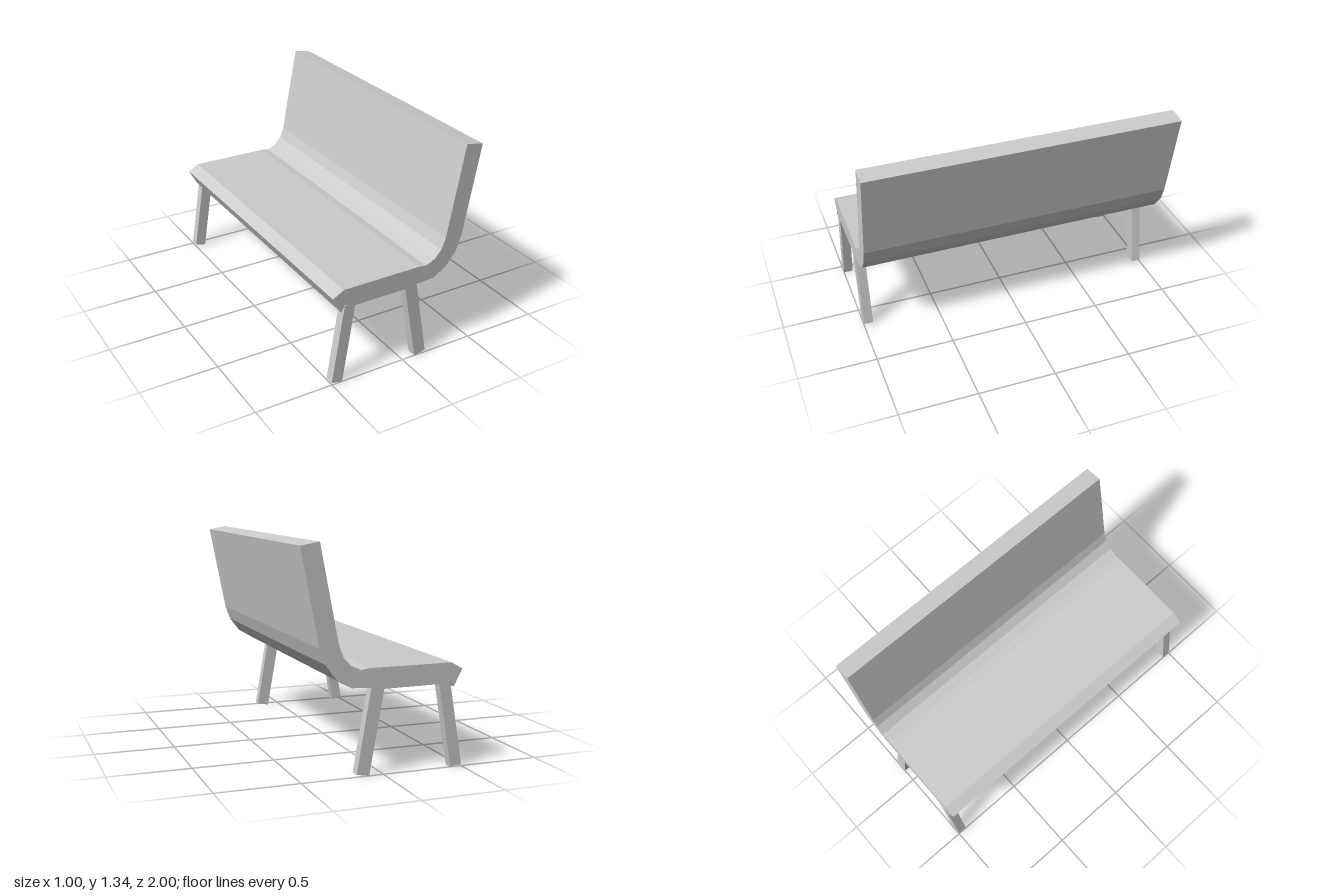
import * as THREE from 'three';

const material = new THREE.MeshStandardMaterial({ color: 0xcccccc, flatShading: true, side: THREE.DoubleSide });

// Extrudes a side profile (x, y) along z, centred on the given z
function slab(name, points, width, z = 0) {
  const shape = new THREE.Shape(points.map(([x, y]) => new THREE.Vector2(x, y)));
  const geometry = new THREE.ExtrudeGeometry(shape, { depth: width, bevelEnabled: false });
  geometry.translate(0, 0, z - width / 2);
  const mesh = new THREE.Mesh(geometry, material);
  mesh.name = name;
  return mesh;
}

export function createModel() {
  const bench = new THREE.Group();
  bench.name = 'bench';

  // Seat and backrest: one continuous curved panel with a folded lip at the open edge
  bench.add(slab('seatAndBackrest', [
    [-0.442, 0.482], [-0.415, 0.525], [-0.39, 0.502], [0, 0.5], [0.08, 0.511],
    [0.2, 0.518], [0.29, 0.572], [0.357, 0.66], [0.39, 0.752], [0.5, 1.319],
    [0.387, 1.339], [0.275, 0.765], [0.248, 0.695], [0.2, 0.643], [0.142, 0.618],
    [0.09, 0.625], [-0.425, 0.625], [-0.496, 0.585],
  ], 2));

  // Splayed legs, a pair at each end
  const legWidth = 0.06;
  for (const side of [-1, 1]) {
    const z = side * (1 - legWidth / 2);
    bench.add(slab('seatEdgeLeg', [
      [-0.5, 0.014], [-0.43, 0], [-0.347, 0.505], [-0.418, 0.517],
    ], legWidth, z));
    bench.add(slab('backrestLeg', [
      [0.088, 0], [0.166, 0.014], [0.079, 0.512], [-0.001, 0.503],
    ], legWidth, z));
  }
  return bench;
}
